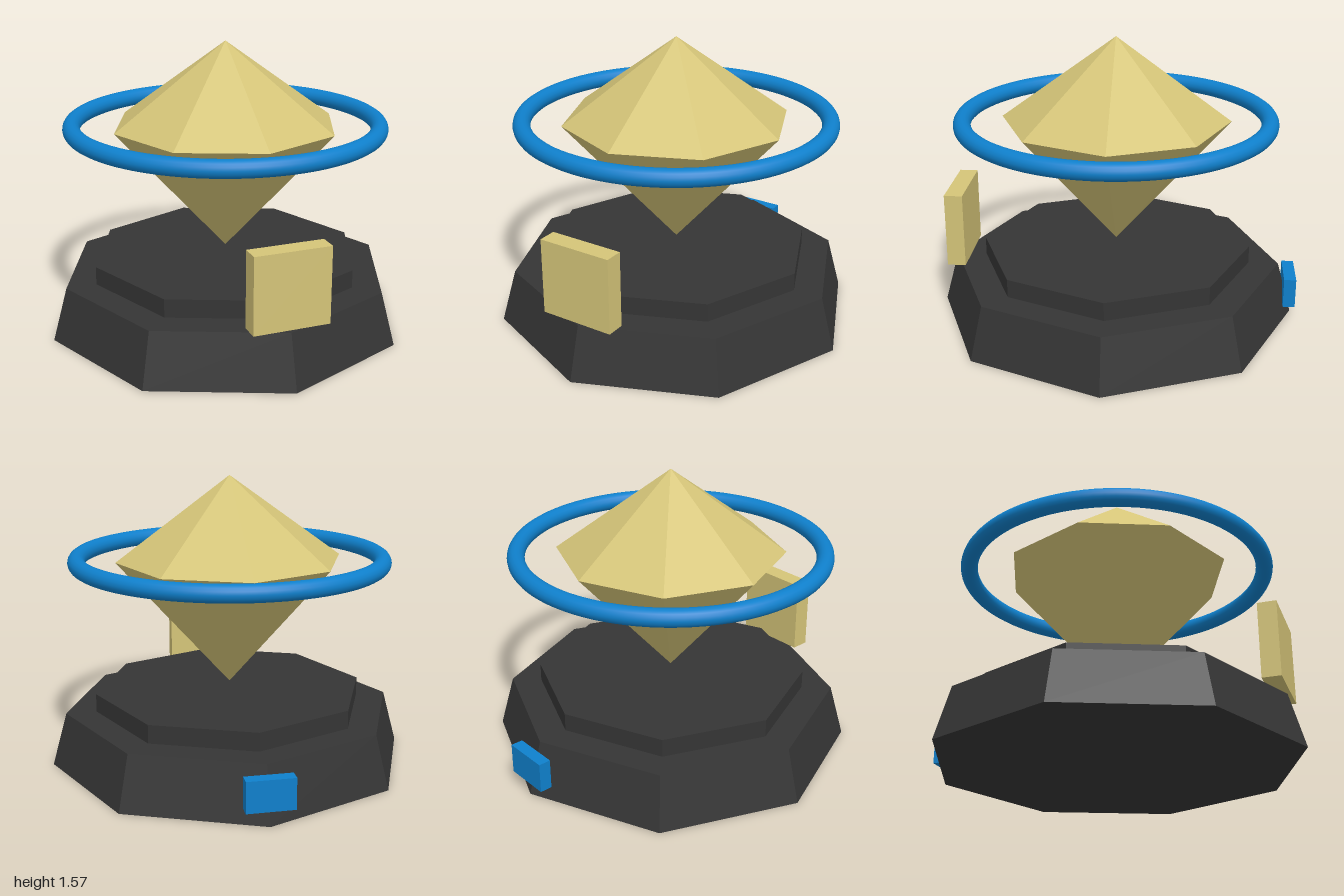
import * as THREE from 'three';

export function createModel() {
  const group = new THREE.Group();
  const material = (name, color) => {
    const m = new THREE.MeshStandardMaterial({ color });
    m.name = name;
    return m;
  };
  const charcoal = material('charcoal', 0x353535);
  const gold = material('pale gold', 0xd4c478);
  const blue = material('bright blue', 0x0f80cc);

  const add = (name, geometry, mat, x, y, z) => {
    const mesh = new THREE.Mesh(geometry, mat);
    mesh.name = name;
    mesh.position.set(x, y, z);
    group.add(mesh);
    return mesh;
  };
  // Flat-faced octagonal solid with a corner facing the front
  const octagon = (top, bottom, height, open = false) =>
    new THREE.CylinderGeometry(top, bottom, height, 8, 1, open).toNonIndexed();
  const faceted = (geometry) => {
    geometry.computeVertexNormals();
    return geometry;
  };
  const cz = 0.005;

  // Stepped pedestal
  add('pedestalBase', faceted(octagon(0.91, 0.99, 0.29)), charcoal, 0, 0.145, cz);
  add('pedestalStep', faceted(octagon(0.745, 0.745, 0.1)), charcoal, 0, 0.34, cz);

  // Floating crystal: shallow crown above a deep point
  const girdle = 1.118, tip = 1.57, point = 0.42;
  add('crystalCrown', faceted(octagon(0, 0.62, tip - girdle, true)), gold, 0, (tip + girdle) / 2, cz);
  add('crystalPoint', faceted(octagon(0.62, 0, girdle - point, true)), gold, 0, (girdle + point) / 2, cz);

  // Ring level with the crystal's widest edge
  const ring = add('ring', new THREE.TorusGeometry(0.825, 0.047, 16, 96), blue, 0, girdle, cz);
  ring.rotation.x = Math.PI / 2;

  // Front plaque and rear block
  add('frontPlaque', new THREE.BoxGeometry(0.41, 0.41, 0.1), gold, 0, 0.515, 0.875);
  add('rearBlock', new THREE.BoxGeometry(0.25, 0.165, 0.066), blue, 0, 0.168, -0.967);

  return group;
}
